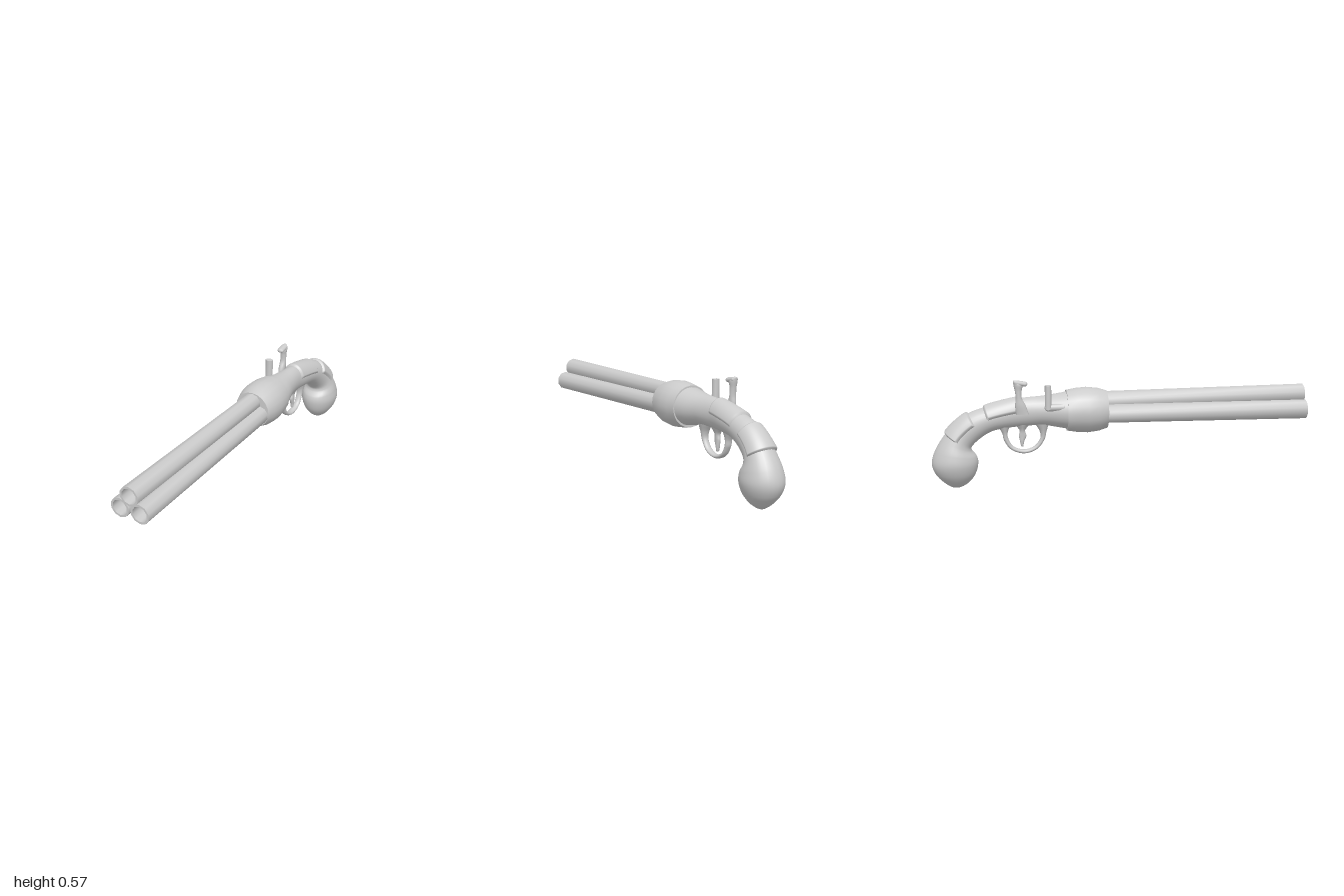
import * as THREE from 'three';
import { toCreasedNormals } from 'three/addons/utils/BufferGeometryUtils.js';
import { ParametricGeometry } from 'three/addons/geometries/ParametricGeometry.js';

const material = new THREE.MeshStandardMaterial({ color: 0xcccccc, side: THREE.DoubleSide });

function add(parent, name, geometry) {
  const mesh = new THREE.Mesh(geometry, material);
  mesh.name = name;
  parent.add(mesh);
  return mesh;
}

// Smooth skin over elliptical sections [zTop, yTop, zBottom, yBottom, halfWidth].
// range limits it to [u0, u1, angle0, angle1]; lift(u, v) swells the section.
function loft(sections, nu, nv, range = [0, 1, 0, Math.PI * 2], lift = () => 0) {
  const curve = (zi, yi) => new THREE.CatmullRomCurve3(
    sections.map((s) => new THREE.Vector3(s[4], s[yi], s[zi])), false, 'catmullrom', 0.5);
  const top = curve(0, 1), bottom = curve(2, 3);
  const a = new THREE.Vector3(), b = new THREE.Vector3();
  return new ParametricGeometry((u, v, target) => {
    const t = THREE.MathUtils.lerp(range[0], range[1], u);
    const angle = THREE.MathUtils.lerp(range[2], range[3], v);
    top.getPoint(t, a);
    bottom.getPoint(t, b);
    const d = lift(u, v);
    const half = Math.hypot(a.y - b.y, a.z - b.z) / 2;
    const k = Math.sin(angle) * (half + d) / half;
    target.set(
      (a.x + d) * Math.cos(angle),
      (a.y + b.y) / 2 + k * (a.y - b.y) / 2,
      (a.z + b.z) / 2 + k * (a.z - b.z) / 2);
  }, nu, nv);
}

// Turned part along z from a profile of [radius, z]
function turned(profile, sides, crease) {
  const g = new THREE.LatheGeometry(profile.map((p) => new THREE.Vector2(...p)), sides);
  g.rotateX(Math.PI / 2);
  return toCreasedNormals(g, crease);
}

export function createModel() {
  const model = new THREE.Group();
  model.name = 'threeBarrelPistol';

  // Three hollow barrels, converging slightly toward the breech
  const barrels = new THREE.Group();
  barrels.name = 'barrels';
  model.add(barrels);
  const barrelEnds = [
    ['topBarrel', 0, 0.445, 0, 0.441],
    ['leftBarrel', 0.056, 0.368, 0.048, 0.378],
    ['rightBarrel', -0.056, 0.368, -0.048, 0.378],
  ];
  for (const [name, x1, y1, x0, y0] of barrelEnds) {
    const g = turned([[0.049, -0.15], [0.052, 1], [0.041, 1], [0.039, 0.9], [0, 0.9]], 10, 0.75);
    const sx = (x1 - x0) / 1.08, sy = (y1 - y0) / 1.08;
    g.applyMatrix4(new THREE.Matrix4().set(
      1, 0, sx, x1 - sx,
      0, 1, sy, y1 - sy,
      0, 0, 1, 0,
      0, 0, 0, 1));
    add(barrels, name, g);
  }

  // Swollen breech drum
  add(model, 'breech', turned([
    [0, -0.295], [0.108, -0.293], [0.117, -0.24], [0.121, -0.185],
    [0.114, -0.125], [0.1, -0.08], [0, -0.08],
  ], 20, 0.75)).position.y = 0.394;

  // Stock curving down into the bulbous grip
  const stock = [
    [-0.28, 0.495, -0.28, 0.295, 0.105],
    [-0.34, 0.485, -0.33, 0.305, 0.093],
    [-0.42, 0.475, -0.42, 0.321, 0.07],
    [-0.52, 0.468, -0.52, 0.318, 0.056],
    [-0.62, 0.45, -0.60, 0.312, 0.059],
    [-0.72, 0.424, -0.68, 0.298, 0.063],
    [-0.81, 0.392, -0.74, 0.265, 0.066],
    [-0.885, 0.335, -0.785, 0.225, 0.072],
    [-0.94, 0.27, -0.79, 0.2, 0.082],
    [-0.982, 0.2, -0.765, 0.165, 0.097],
    [-0.999, 0.135, -0.76, 0.125, 0.102],
    [-0.982, 0.08, -0.775, 0.072, 0.085],
    [-0.94, 0.032, -0.81, 0.028, 0.052],
    [-0.9, 0.005, -0.85, 0.004, 0.018],
    [-0.876, 0.0, -0.874, 0.0, 0.001],
  ];
  add(model, 'stock', loft(stock, 70, 28));

  // Raised saddle plates with rounded edges, sunk into the stock at the rim
  const lift = (u, v) => -0.006 + 0.018 * THREE.MathUtils.smoothstep(
    Math.min(u, 1 - u, v, 1 - v), 0, 0.09);
  const last = stock.length - 1;
  add(model, 'upperPlate', loft(stock, 30, 30, [3.05 / last, 5.15 / last, 0, Math.PI], lift));
  add(model, 'rearPlate', loft(stock, 30, 30, [5.85 / last, 7.75 / last, 0, Math.PI], lift));

  // Trigger guard, flaring where it meets the stock
  add(model, 'triggerGuard', loft([
    [-0.46, 0.33, -0.385, 0.33, 0.036],
    [-0.436, 0.288, -0.399, 0.284, 0.023],
    [-0.433, 0.25, -0.411, 0.24, 0.018],
    [-0.463, 0.208, -0.449, 0.192, 0.018],
    [-0.516, 0.191, -0.516, 0.17, 0.018],
    [-0.572, 0.208, -0.586, 0.192, 0.018],
    [-0.599, 0.25, -0.622, 0.242, 0.018],
    [-0.602, 0.288, -0.632, 0.284, 0.021],
    [-0.585, 0.33, -0.66, 0.33, 0.034],
  ], 40, 12));

  // Trigger
  add(model, 'trigger', loft([
    [-0.57, 0.33, -0.48, 0.33, 0.03],
    [-0.542, 0.297, -0.51, 0.297, 0.016],
    [-0.545, 0.265, -0.505, 0.265, 0.012],
    [-0.54, 0.235, -0.518, 0.232, 0.011],
    [-0.535, 0.212, -0.522, 0.209, 0.008],
    [-0.53, 0.206, -0.529, 0.206, 0.001],
  ], 24, 10));

  // Hammer on the right side: stem plus forward-leaning thumb spur
  const hammer = new THREE.Group();
  hammer.name = 'hammer';
  hammer.position.x = -0.074;
  model.add(hammer);
  add(hammer, 'hammerStem', loft([
    [-0.495, 0.395, -0.56, 0.395, 0.014],
    [-0.51, 0.44, -0.565, 0.44, 0.018],
    [-0.529, 0.48, -0.561, 0.48, 0.017],
    [-0.529, 0.52, -0.565, 0.52, 0.017],
    [-0.524, 0.545, -0.572, 0.555, 0.02],
    [-0.53, 0.562, -0.572, 0.573, 0.014],
    [-0.551, 0.57, -0.553, 0.57, 0.001],
  ], 28, 12));
  const spur = new THREE.CapsuleGeometry(0.013, 0.045, 4, 10);
  spur.rotateX(Math.PI / 2 + 0.17);
  spur.scale(1.5, 1, 1);
  add(hammer, 'hammerSpur', spur).position.set(0, 0.557, -0.535);

  // Upright striker post with a foot running forward along the stock
  const striker = new THREE.Group();
  striker.name = 'striker';
  striker.position.x = -0.079;
  model.add(striker);
  const post = new THREE.CylinderGeometry(0.021, 0.021, 0.125, 10);
  post.scale(1, 1, 0.8);
  add(striker, 'strikerPost', toCreasedNormals(post, 0.75)).position.set(0, 0.48, -0.395);
  const foot = new THREE.CapsuleGeometry(0.019, 0.08, 4, 10);
  foot.rotateX(Math.PI / 2);
  add(striker, 'strikerFoot', foot).position.set(0.004, 0.425, -0.355);

  return model;
}
